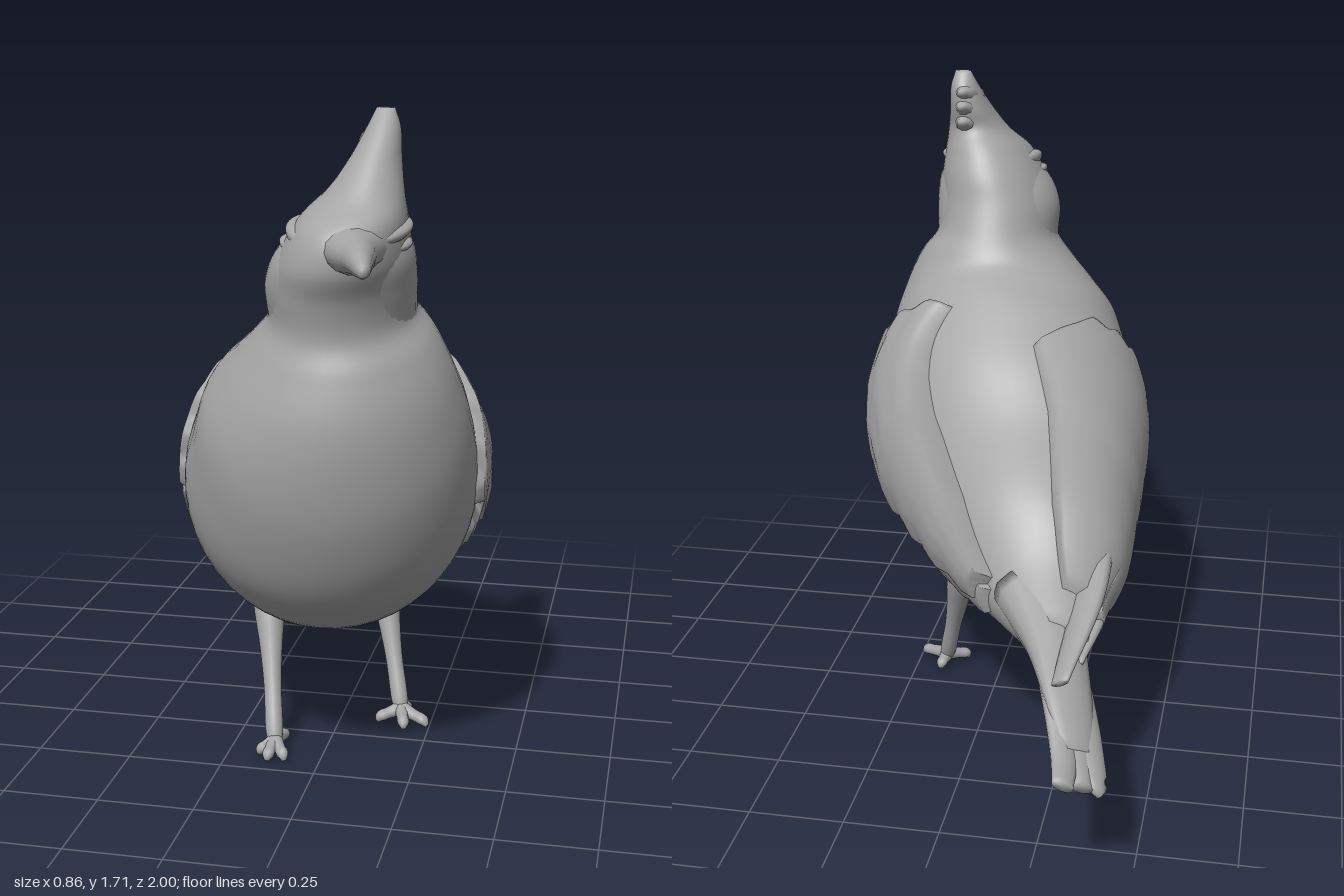
import * as THREE from 'three';

const V = (x, y, z) => new THREE.Vector3(x, y, z);
const rad = THREE.MathUtils.degToRad;
const feather = new THREE.MeshStandardMaterial({ color: 0xa6a6a6, side: THREE.DoubleSide });
feather.name = 'plainGrey';

// Indexed surface from fn(i, j); optionally wraps around in j
function gridGeometry(rows, cols, wrap, fn) {
  const pos = [], idx = [];
  for (let i = 0; i < rows; i++)
    for (let j = 0; j < cols; j++) pos.push(...fn(i, j).toArray());
  for (let i = 0; i < rows - 1; i++)
    for (let j = 0; j < (wrap ? cols : cols - 1); j++) {
      const k = (j + 1) % cols;
      const a = i * cols + j, b = i * cols + k, c = a + cols, d = b + cols;
      idx.push(a, c, b, b, c, d);
    }
  const g = new THREE.BufferGeometry();
  g.setAttribute('position', new THREE.Float32BufferAttribute(pos, 3));
  g.setIndex(idx);
  g.computeVertexNormals();
  return g;
}

function add(parent, name, geometry) {
  const m = new THREE.Mesh(geometry, feather);
  m.name = name;
  parent.add(m);
}

// Elliptic sweep: each point is [x, y, z, radius across, radius along ref]
function sweep(points, ref, rows = 20, cols = 14) {
  const path = new THREE.CatmullRomCurve3(points.map(p => V(p[0], p[1], p[2])));
  const size = new THREE.CatmullRomCurve3(points.map((p, i) => V(p[3], p[4], i * 0.1)));
  return gridGeometry(rows + 2, cols, true, (i, j) => {
    const t = THREE.MathUtils.clamp((i - 1) / (rows - 1), 0, 1);
    const end = i === 0 || i === rows + 1 ? 0 : 1;
    const tan = path.getTangent(t), r = size.getPoint(t), a = j / cols * Math.PI * 2;
    const w = tan.clone().cross(ref).normalize(), n = w.clone().cross(tan);
    return path.getPoint(t)
      .addScaledVector(w, Math.cos(a) * r.x * end)
      .addScaledVector(n, Math.sin(a) * r.y * end);
  });
}

// Body rings, tail to crest: back z, back y, front z, front y, centre x, half width
const rings = [
  [-0.60, 0.55, -0.58, 0.42, -0.27, 0.08], [-0.46, 0.64, -0.42, 0.395, -0.21, 0.15],
  [-0.33, 0.77, -0.25, 0.35, -0.16, 0.23], [-0.13, 0.90, -0.05, 0.317, -0.09, 0.30],
  [0.00, 1.02, 0.20, 0.315, -0.03, 0.36], [0.09, 1.09, 0.43, 0.38, 0.00, 0.385],
  [0.16, 1.14, 0.62, 0.51, 0.02, 0.375], [0.21, 1.17, 0.73, 0.70, 0.04, 0.345],
  [0.245, 1.19, 0.775, 0.86, 0.05, 0.315], [0.27, 1.21, 0.785, 1.00, 0.07, 0.27],
  [0.29, 1.24, 0.765, 1.12, 0.085, 0.22], [0.31, 1.28, 0.745, 1.20, 0.085, 0.177],
  [0.345, 1.36, 0.765, 1.29, 0.088, 0.165], [0.37, 1.43, 0.80, 1.37, 0.105, 0.152],
  [0.41, 1.50, 0.79, 1.45, 0.125, 0.125], [0.45, 1.555, 0.70, 1.52, 0.15, 0.088],
  [0.44, 1.61, 0.62, 1.60, 0.165, 0.06], [0.445, 1.67, 0.55, 1.67, 0.177, 0.04],
  [0.475, 1.715, 0.50, 1.715, 0.18, 0.022],
];
const LAST = rings.length - 1;
const backLine = new THREE.CatmullRomCurve3(rings.map(r => V(r[4], r[1], r[0])));
const frontLine = new THREE.CatmullRomCurve3(rings.map(r => V(r[5], r[3], r[2])));

// Point on the body at ring number s and angle a (0 = back, 90 degrees = +x side)
function bodyPoint(s, a, scale = 1) {
  const t = THREE.MathUtils.clamp(s / LAST, 0, 1);
  const b = backLine.getPoint(t), f = frontLine.getPoint(t), c = Math.cos(a) * scale / 2;
  return V(b.x + f.x * Math.sin(a) * scale,
    (b.y + f.y) / 2 + (b.y - f.y) * c, (b.z + f.z) / 2 + (b.z - f.z) * c);
}

// Point raised off the body along its normal
function raisedPoint(s, a, lift) {
  const e = 0.02, p = bodyPoint(s, a);
  const n = bodyPoint(s + e, a).sub(p).cross(bodyPoint(s, a + e).sub(p)).normalize();
  return p.addScaledVector(n, lift);
}

const lerpList = (list, u) => {
  const k = Math.min(u * (list.length - 1), list.length - 1.001), i = Math.floor(k);
  return list[i] + (list[i + 1] - list[i]) * (k - i);
};
const zigzag = x => Math.abs((x % 1) - 0.5) * 2;

// Raised plumage layer hugging the body, with ragged front and lower edges
function plumage(side, rear, front, top, bottom, heights) {
  const n = 56, m = 28;
  return gridGeometry(n + 1, m + 1, false, (i, j) => {
    const u = i / n, v = side > 0 ? j / m : 1 - j / m;
    const round = v < 0.4 ? 0.3 * (1 - v / 0.4) ** 2 : 1.2 * (v - 0.4) ** 2;
    const s = rear + (front - rear - round - 0.25 * zigzag(v * 4.3)) * u;
    const deg = lerpList(top, u) * (1 - v) + (lerpList(bottom, u) - 5 * zigzag(u * 7)) * v;
    const edge = i === 0 || i === n || j === 0 || j === m;
    const lift = lerpList(heights, u) * (1 - 0.45 * v * v);
    return raisedPoint(s, rad(deg) * side, edge ? -0.005 : lift);
  });
}

// Soft oval swelling on the body skin
function swelling(side, s, deg, rs, rdeg, height) {
  return gridGeometry(9, 28, true, (i, j) => {
    const r = 1 - i / 8, a = j / 28 * Math.PI * 2;
    return raisedPoint(s + rs * r * Math.sin(a), rad(deg + rdeg * r * Math.cos(a) * side) * side,
      height * (1 - r * r) - 0.001);
  });
}

export function createModel() {
  const bird = new THREE.Group();
  bird.name = 'crestedBird';
  const up = V(0, 1, 0);

  // Body, neck, head and crest in one smooth skin
  add(bird, 'body', gridGeometry(112, 48, true, (i, j) =>
    bodyPoint((i - 1) / 109 * LAST, j / 48 * Math.PI * 2, i === 0 || i === 111 ? 0 : 1)));

  // Ragged feather tips behind the crest
  for (const [y, z] of [[1.57, 0.485], [1.615, 0.48], [1.655, 0.485]])
    add(bird, 'crestTip', sweep([[0.165, y - 0.015, z + 0.03, 0.045, 0.03], [0.17, y, z - 0.025, 0.03, 0.024],
      [0.175, y + 0.008, z - 0.058, 0.012, 0.009]], up, 8, 10));

  // Beak
  add(bird, 'beak', sweep([[0.145, 1.42, 0.72, 0.085, 0.058], [0.165, 1.418, 0.80, 0.058, 0.048],
    [0.187, 1.419, 0.86, 0.041, 0.038], [0.21, 1.418, 0.94, 0.026, 0.028],
    [0.222, 1.413, 0.98, 0.017, 0.019], [0.226, 1.41, 0.998, 0.008, 0.01]], up));

  // Cheek patches, eyes and brows
  for (const side of [1, -1]) {
    add(bird, 'cheek', swelling(side, 12.1, 92, 1.2, 42, 0.016));
    add(bird, 'eye', swelling(side, 13.25, 97, 0.16, 12, 0.012));
    add(bird, 'brow', swelling(side, 13.7, 98, 0.22, 30, 0.015));
  }

  // Wings: a lower flight layer under a broader covert layer
  const wings = [
    { name: 'leftWing', side: 1, rear: 0.9, top: [58, 46, 42, 32, 20], heights: [0.05, 0.07, 0.075, 0.055, 0.03] },
    { name: 'rightWing', side: -1, rear: 0.5, top: [18, 13, 16, 13, 36], heights: [0.03, 0.035, 0.035, 0.035, 0.03] },
  ];
  for (const w of wings) {
    const g = new THREE.Group();
    g.name = w.name;
    bird.add(g);
    add(g, 'flightFeathers', plumage(w.side, w.rear, 5.4, [70, 75, 75, 75, 75], [112, 122, 124, 120, 108], [0.025, 0.025]));
    add(g, 'coverts', plumage(w.side, w.rear + 0.1, 6.3, w.top, [95, 100, 104, 104, 98], w.heights));
  }

  // Folded wing tips
  const tips = [
    [[-0.32, 0.66, -0.22], [-0.335, 0.575, -0.50], [-0.308, 0.487, -0.79]],
    [[-0.29, 0.56, -0.20], [-0.335, 0.50, -0.45], [-0.325, 0.465, -0.66]],
  ];
  for (const [a, b, c] of tips)
    add(bird, 'wingTip', sweep([[...a, 0.055, 0.04], [...b, 0.05, 0.026], [...c, 0.025, 0.01]], V(0.5, 0.85, 0)));

  // Tail: a root and three overlapping feathers, rolled towards -x
  const roll = V(-0.5, 0.86, 0);
  add(bird, 'tailRoot', sweep([[-0.20, 0.52, -0.42, 0.13, 0.10], [-0.27, 0.475, -0.60, 0.085, 0.06],
    [-0.325, 0.42, -0.76, 0.07, 0.03], [-0.365, 0.355, -0.88, 0.05, 0.018]], roll));
  for (const k of [-1, 0, 1])
    add(bird, 'tailFeather', sweep([[-0.27 + 0.025 * k, 0.465 + 0.015 * k, -0.58, 0.05, 0.03],
      [-0.335 + 0.03 * k, 0.395 + 0.022 * k, -0.78, 0.045, 0.024],
      [-0.375 + 0.038 * k, 0.33 + 0.028 * k, -0.91, 0.036, 0.02],
      [-0.387 + 0.04 * k, 0.308 + 0.03 * k, -0.955 - 0.043 * k, 0.028, 0.015]], roll));

  // Legs and toes
  const legs = [
    { name: 'leftLeg', hip: [0.09, 0.36, -0.01], foot: [0.165, 0.03, 0.12], toes: [[0.08, 0.045], [0.02, 0.075], [-0.06, 0.04], [0.01, -0.05]] },
    { name: 'rightLeg', hip: [-0.185, 0.36, 0.215], foot: [-0.13, 0.03, 0.39], toes: [[0.04, 0.06], [-0.005, 0.07], [-0.035, 0.035], [0.01, -0.085]] },
  ];
  for (const { name, hip, foot, toes } of legs) {
    const g = new THREE.Group();
    g.name = name;
    bird.add(g);
    const along = (t, r) => [...hip.map((h, i) => h + (foot[i] - h) * t), r, r];
    add(g, 'shank', sweep([along(-0.3, 0.045), along(0.05, 0.043), along(0.3, 0.032), along(0.6, 0.024),
      along(0.9, 0.024), along(1.02, 0.018)], V(0, 0, 1)));
    for (const [dx, dz] of toes)
      add(g, 'toe', sweep([[foot[0], 0.035, foot[2], 0.022, 0.022],
        [foot[0] + dx * 0.55, 0.026, foot[2] + dz * 0.55, 0.016, 0.016],
        [foot[0] + dx * 0.85, 0.021, foot[2] + dz * 0.85, 0.016, 0.016],
        [foot[0] + dx, 0.008, foot[2] + dz, 0.006, 0.006]], up, 10, 10));
  }
  return bird;
}
